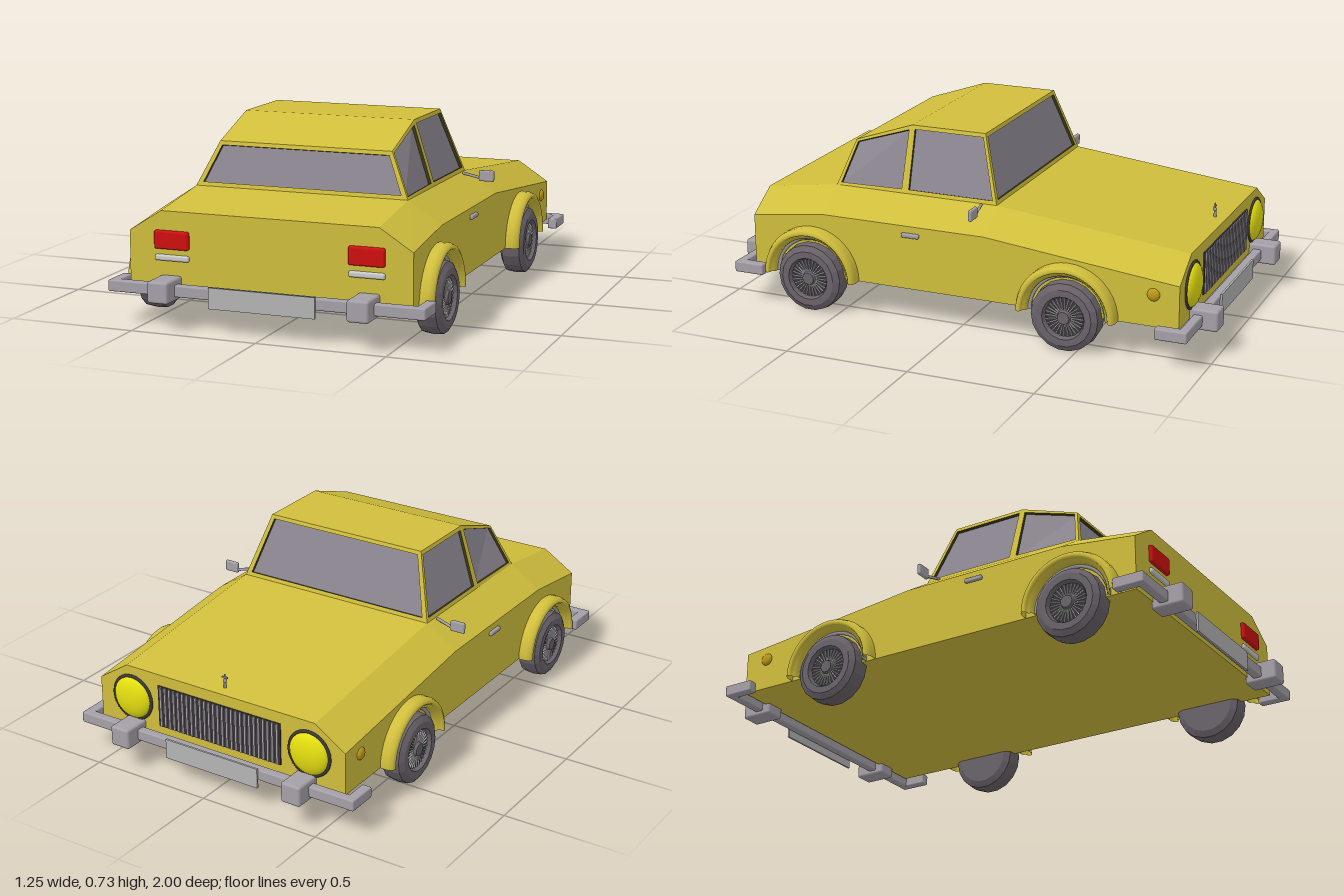
import * as THREE from 'three';
import { RoundedBoxGeometry } from 'three/addons/geometries/RoundedBoxGeometry.js';

const mat = (color, opts = {}) => {
  const m = new THREE.MeshStandardMaterial({ color });
  return Object.assign(m, opts);
};
const paint = mat(0xd0be3c, { flatShading: true });
const archPaint = mat(0xd0be3c, { side: THREE.DoubleSide });
const glass = mat(0x8d8791, { flatShading: true });
const seal = mat(0x3c3718, { side: THREE.DoubleSide });
const chrome = mat(0xa5a0a8);
const rubber = mat(0x6a636a, { flatShading: true });
const dark = mat(0x3a373c);
const silver = mat(0xd8d6d8);
const plateMat = mat(0xb4b4b4);
const red = mat(0xd01010);
const lamp = mat(0xe6e010);
const amber = mat(0xc09a18);

export function createModel() {
  const car = new THREE.Group();
  car.name = 'car';

  const add = (name, geo, material, pos = [0, 0, 0], parent = car) => {
    const m = new THREE.Mesh(geo, material);
    m.name = name;
    m.position.set(...pos);
    parent.add(m);
    return m;
  };
  const box = (name, material, size, pos, r = 0.006) =>
    add(name, new RoundedBoxGeometry(...size, 2, r), material, pos);

  // Four-cornered faces, corners anticlockwise from outside
  const quads = list => {
    const g = new THREE.BufferGeometry();
    const pts = list.flatMap(([a, b, c, d]) => [a, b, c, a, c, d]);
    g.setFromPoints(pts.map(p => (p.isVector3 ? p : new THREE.Vector3(...p))));
    g.computeVertexNormals();
    return g;
  };

  // Lower body: cross-sections [z, shoulder height, top height]
  const sections = [[0.88, 0.355, 0.437], [0.57, 0.395, 0.48], [-0.11, 0.395, 0.48], [-0.89, 0.31, 0.395]]
    .map(([z, s, t]) => [[0.56, 0.14, z], [0.56, s, z], [0.43, t, z], [-0.43, t, z], [-0.56, s, z], [-0.56, 0.14, z]]);
  const faces = [];
  for (let k = 0; k < 3; k++) {
    const A = sections[k], B = sections[k + 1];
    for (let i = 0; i < 6; i++) {
      const j = (i + 1) % 6;
      faces.push([A[i], B[i], B[j], A[j]]);
    }
  }
  const [p, q] = [sections[0], sections[3]];
  faces.push([p[0], p[1], p[4], p[5]], [p[1], p[2], p[3], p[4]]);
  faces.push([q[5], q[4], q[1], q[0]], [q[4], q[3], q[2], q[1]]);
  add('body', quads(faces), paint);

  // Roof: flat panel and sloping rear panel
  const R = 0.35, B = 0.43;
  add('roof', quads([
    [[-R, 0.735, 0.28], [R, 0.735, 0.28], [R, 0.735, -0.03], [-R, 0.735, -0.03]],
    [[-R, 0.65, 0.525], [R, 0.65, 0.525], [R, 0.735, 0.28], [-R, 0.735, 0.28]],
  ]), paint);

  // Window panel: painted frame, dark reveal, recessed glass
  const windowPanel = (name, corners, mu, mv) => {
    const o = corners.map(c => new THREE.Vector3(...c));
    const at = (u, v) => o[0].clone().lerp(o[1], u).lerp(o[3].clone().lerp(o[2], u), v);
    const inner = [at(mu, mv), at(1 - mu, mv), at(1 - mu, 1 - mv), at(mu, 1 - mv)];
    const n = o[1].clone().sub(o[0]).cross(o[3].clone().sub(o[0])).normalize();
    const deep = inner.map(v => v.clone().addScaledVector(n, -0.012));
    const ring = (a, b) => a.map((_, i) => [a[i], a[(i + 1) % 4], b[(i + 1) % 4], b[i]]);
    add(name + 'Frame', quads(ring(o, inner)), paint);
    add(name + 'Seal', quads(ring(inner, deep)), seal);
    add(name + 'Glass', quads([deep]), glass);
  };
  windowPanel('rearWindow', [[-B, 0.48, 0.575], [B, 0.48, 0.575], [R, 0.65, 0.525], [-R, 0.65, 0.525]], 0.025, 0.09);
  windowPanel('windscreen', [[B, 0.48, -0.11], [-B, 0.48, -0.11], [-R, 0.735, -0.03], [R, 0.735, -0.03]], 0.025, 0.06);
  const quarter = [[B, 0.48, 0.575], [B, 0.48, 0.28], [R, 0.735, 0.28], [R, 0.65, 0.525]];
  const door = [[B, 0.48, 0.28], [B, 0.48, -0.11], [R, 0.735, -0.03], [R, 0.735, 0.28]];
  const flip = ([a, b, c, d]) => [b, a, d, c].map(([x, y, z]) => [-x, y, z]);
  windowPanel('leftQuarterWindow', quarter, 0.05, 0.06);
  windowPanel('leftDoorWindow', door, 0.04, 0.06);
  windowPanel('rightQuarterWindow', flip(quarter), 0.05, 0.06);
  windowPanel('rightDoorWindow', flip(door), 0.04, 0.06);

  // Wheels and flared arches
  const profile = list => list.map(([r, y]) => new THREE.Vector2(r, y));
  const tyreGeo = new THREE.LatheGeometry(profile([[0, -0.05], [0.11, -0.05], [0.134, -0.036], [0.138, 0],
    [0.134, 0.036], [0.112, 0.05], [0.085, 0.05], [0.078, 0.03], [0, 0.03]]), 18);
  const archProfile = profile([[0.2, -0.01], [0.2, 0.03], [0.193, 0.047], [0.18, 0.054], [0.173, 0.046],
    [0.17, 0.03], [0.157, 0.028], [0.155, -0.01]]);
  const spokeGeo = new THREE.BoxGeometry(0.046, 0.006, 0.004);
  for (const side of [1, -1]) {
    for (const [end, z] of [['rear', 0.62], ['front', -0.455]]) {
      const wheel = new THREE.Group();
      wheel.name = end + 'Wheel';
      wheel.position.set(side * 0.562, 0.138, z);
      wheel.rotation.z = -side * Math.PI / 2;
      car.add(wheel);
      add('tyre', tyreGeo, rubber, [0, 0, 0], wheel);
      add('rim', new THREE.CylinderGeometry(0.076, 0.076, 0.004, 24), dark, [0, 0.031, 0], wheel);
      for (let i = 0; i < 28; i++) {
        const a = i / 28 * Math.PI * 2;
        const s = add('spoke', spokeGeo, silver, [0.052 * Math.cos(a), 0.035, 0.052 * Math.sin(a)], wheel);
        s.rotation.y = -a;
      }
      add('hub', new THREE.CylinderGeometry(0.024, 0.03, 0.016, 16), rubber, [0, 0.04, 0], wheel);

      const start = side > 0 ? Math.PI : 0;
      const arch = add(end + 'Arch', new THREE.LatheGeometry(archProfile, 20, start, Math.PI), archPaint, [side * 0.56, 0.14, z]);
      arch.rotation.z = -side * Math.PI / 2;
      const trim = add(end + 'ArchTrim', new THREE.TorusGeometry(0.153, 0.008, 6, 20, Math.PI), chrome, [side * 0.566, 0.14, z]);
      trim.rotation.y = Math.PI / 2;
    }

    // Door handle, side indicator and mirror
    box('doorHandle', chrome, [0.016, 0.018, 0.075], [side * 0.565, 0.36, 0.193]);
    const ind = add('sideIndicator', new THREE.SphereGeometry(0.025, 16, 10), amber, [side * 0.56, 0.265, -0.79]);
    ind.scale.x = 0.5;
    box('mirror', chrome, [0.062, 0.044, 0.016], [side * 0.537, 0.472, -0.058]);
    const stalk = new THREE.LineCurve3(new THREE.Vector3(side * 0.44, 0.48, -0.05), new THREE.Vector3(side * 0.51, 0.463, -0.058));
    add('mirrorStalk', new THREE.TubeGeometry(stalk, 1, 0.006, 6), chrome);

    // Rear lamps
    box('tailLight', red, [0.14, 0.07, 0.03], [side * 0.385, 0.329, 0.88], 0.008);
    box('reversingLight', silver, [0.14, 0.023, 0.024], [side * 0.385, 0.261, 0.88], 0.008);

    // Headlamp dome in a dark ring
    const dome = add('headlight', new THREE.SphereGeometry(0.086, 24, 14), lamp, [side * 0.405, 0.265, -0.888]);
    dome.scale.z = 0.4;
    add('headlightRing', new THREE.TorusGeometry(0.088, 0.007, 8, 28), dark, [side * 0.405, 0.265, -0.89]);
  }

  // Bumpers with returns, overriders and plate
  for (const [end, s, y] of [['rear', 1, 0.15], ['front', -1, 0.138]]) {
    box(end + 'BumperBar', chrome, [1.25, 0.044, 0.036], [0, y, s * 0.922]);
    for (const side of [1, -1]) {
      box(end + 'BumperReturn', chrome, [0.04, 0.044, 0.125], [side * 0.605, y, s * 0.878]);
      box(end + 'Overrider', chrome, [0.084, 0.082, 0.13], [side * 0.392, y + 0.003, s * 0.935], 0.01);
    }
    add(end + 'Plate', new THREE.BoxGeometry(0.42, 0.08, 0.008), plateMat, [0, y - 0.012, s * 0.944]);
  }

  // Grille with vertical bars
  add('grille', new THREE.BoxGeometry(0.56, 0.17, 0.01), dark, [0, 0.265, -0.89]);
  for (let i = 0; i < 27; i++) {
    add('grilleBar', new THREE.BoxGeometry(0.009, 0.166, 0.012), chrome, [-0.267 + i * 0.0205, 0.265, -0.894]);
  }

  // Bonnet ornament
  add('ornamentStem', new THREE.CylinderGeometry(0.003, 0.006, 0.06, 8), chrome, [0, 0.425, -0.845]);
  add('ornamentBall', new THREE.SphereGeometry(0.008, 10, 8), chrome, [0, 0.43, -0.845]);
  add('ornamentWings', new THREE.BoxGeometry(0.026, 0.006, 0.006), chrome, [0, 0.442, -0.845]);

  return car;
}
